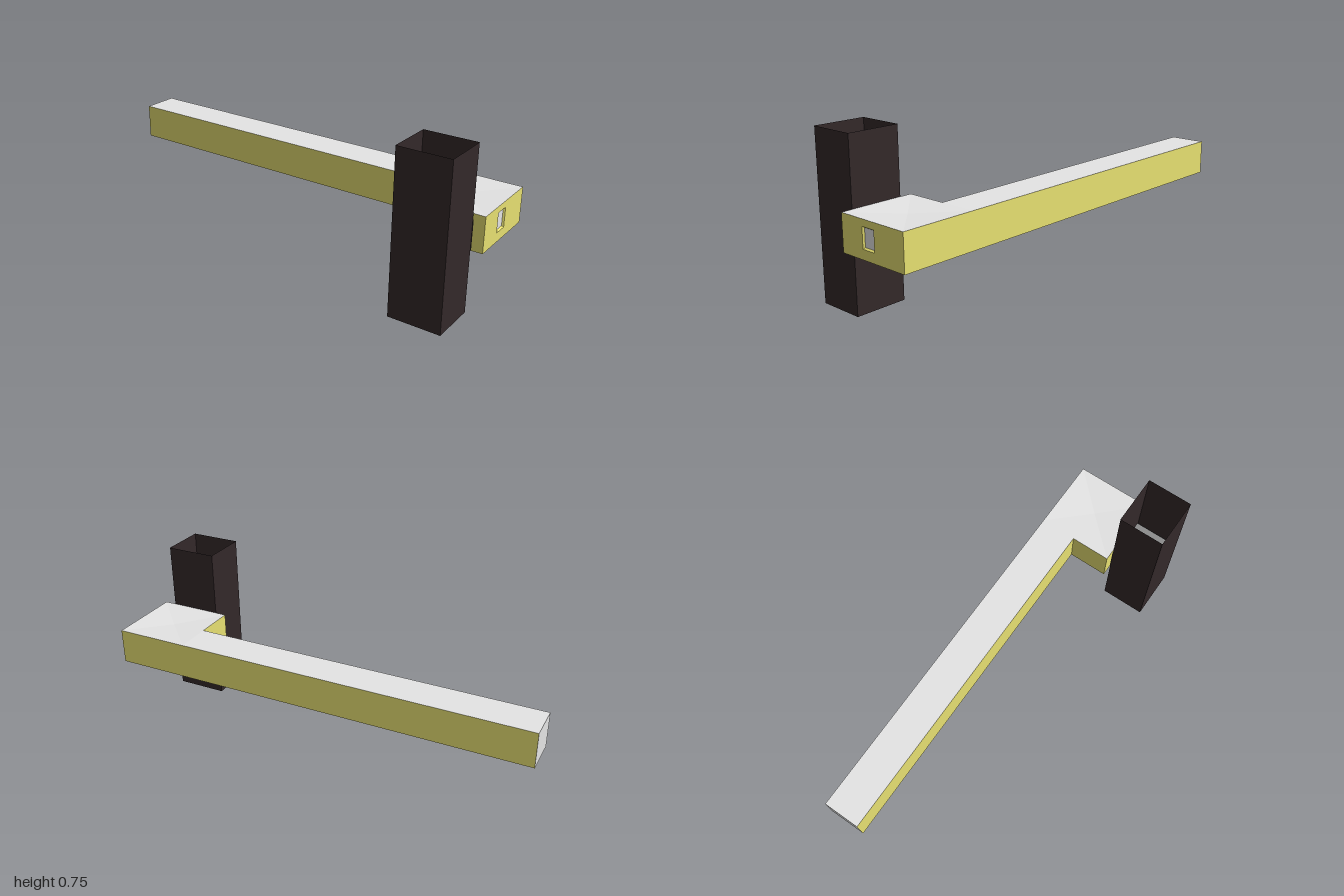
import * as THREE from 'three';

const mat = (name, color, side = THREE.FrontSide) => {
  const m = new THREE.MeshStandardMaterial({ color, side });
  m.name = name;
  return m;
};

// Flat polygon fan from corners given anticlockwise as seen from outside
function panel(name, material, corners) {
  const p = [];
  for (let i = 1; i < corners.length - 1; i++) p.push(...corners[0], ...corners[i], ...corners[i + 1]);
  const g = new THREE.BufferGeometry();
  g.setAttribute('position', new THREE.Float32BufferAttribute(p, 3));
  g.computeVertexNormals();
  const mesh = new THREE.Mesh(g, material);
  mesh.name = name;
  return mesh;
}

// Rectangle facing +x, anticlockwise from outside
const rectX = (x, y0, y1, z0, z1) => [[x, y0, z1], [x, y0, z0], [x, y1, z0], [x, y1, z1]];

// Four panels joining an outer rectangle to an inner one
function ring(name, material, outer, inner) {
  const group = new THREE.Group();
  group.name = name;
  outer.forEach((a, i) => {
    const j = (i + 1) % 4;
    group.add(panel(name + 'Side', material, [a, outer[j], inner[j], inner[i]]));
  });
  return group;
}

export function createModel() {
  const yellow = mat('wall yellow', 0xe8e172);
  const grey = mat('light grey', 0xe5e5e5);
  const brown = mat('underside brown', 0x654006);
  const dark = mat('shaft dark', 0x332829, THREE.DoubleSide);
  const floorGrey = mat('mid grey', 0x8d8d8d);

  const model = new THREE.Group();
  const Y0 = 0.284, Y1 = 0.447, BACK = -0.288, MID = -0.117, FRONT = 0.071, PAD = 0.654;

  // L-shaped corridor: vertical walls around the outline
  const corridor = new THREE.Group();
  corridor.name = 'corridor';
  const outline = [[1, BACK], [-1, BACK], [-1, MID], [PAD, MID], [PAD, FRONT], [1, FRONT]];
  outline.slice(0, -1).forEach(([ax, az], i) => {
    const [bx, bz] = outline[i + 1];
    const isEnd = i === 1;
    corridor.add(panel(isEnd ? 'corridorEnd' : 'wall', isEnd ? grey : yellow,
      [[ax, Y0, az], [bx, Y0, bz], [bx, Y1, bz], [ax, Y1, az]]));
  });

  // Side wall with a shallow recessed window
  const opening = rectX(1, 0.327, 0.417, -0.12, -0.052);
  const pane = rectX(0.992, 0.333, 0.412, -0.115, -0.057);
  corridor.add(ring('windowWall', yellow, rectX(1, Y0, Y1, BACK, FRONT), opening));
  corridor.add(ring('windowFrame', yellow, opening, pane));
  corridor.add(panel('windowPane', grey, pane));

  // Roof of the long arm and undersides
  corridor.add(panel('armRoof', grey, [[-1, Y1, MID], [PAD, Y1, MID], [PAD, Y1, BACK], [-1, Y1, BACK]]));
  for (const [x0, x1, z1] of [[-1, PAD, MID], [PAD, 1, FRONT]]) {
    corridor.add(panel('underside', brown, [[x0, Y0, BACK], [x1, Y0, BACK], [x1, Y0, z1], [x0, Y0, z1]]));
  }

  // Corner roof sinks slightly towards its centre
  const rim = [[PAD, FRONT], [1, FRONT], [1, BACK], [PAD, BACK]];
  rim.forEach(([ax, az], i) => {
    const [bx, bz] = rim[(i + 1) % 4];
    corridor.add(panel('cornerRoof', grey, [[ax, Y1, az], [bx, Y1, bz], [0.827, Y1 - 0.008, -0.11]]));
  });
  model.add(corridor);

  // Open shaft: four thin walls without top or bottom
  const shaft = new THREE.Group();
  shaft.name = 'shaft';
  const SX0 = 0.708, SX1 = 0.948, SZ0 = 0.073, SZ1 = 0.288, H = 0.745;
  const plan = [[SX0, SZ1], [SX1, SZ1], [SX1, SZ0], [SX0, SZ0]];
  plan.forEach(([ax, az], i) => {
    const [bx, bz] = plan[(i + 1) % 4];
    shaft.add(panel('shaftWall', dark, [[ax, 0, az], [bx, 0, bz], [bx, H, bz], [ax, H, az]]));
  });

  // Platform inside the shaft, facing up, with a thin central rod
  shaft.add(panel('platform', floorGrey,
    [[0.718, 0.37, 0.281], [0.938, 0.37, 0.281], [0.938, 0.37, 0.074], [0.718, 0.37, 0.074]]));
  const rod = new THREE.Mesh(new THREE.BoxGeometry(0.008, 0.1, 0.008), dark);
  rod.name = 'rod';
  rod.position.set(0.83, 0.42, 0.181);
  shaft.add(rod);

  // Door surround between corridor and shaft
  shaft.add(panel('doorSurround', dark,
    [[0.705, Y0, 0.072], [0.951, Y0, 0.072], [0.951, 0.422, 0.072], [0.705, 0.422, 0.072]]));
  model.add(shaft);

  return model;
}
